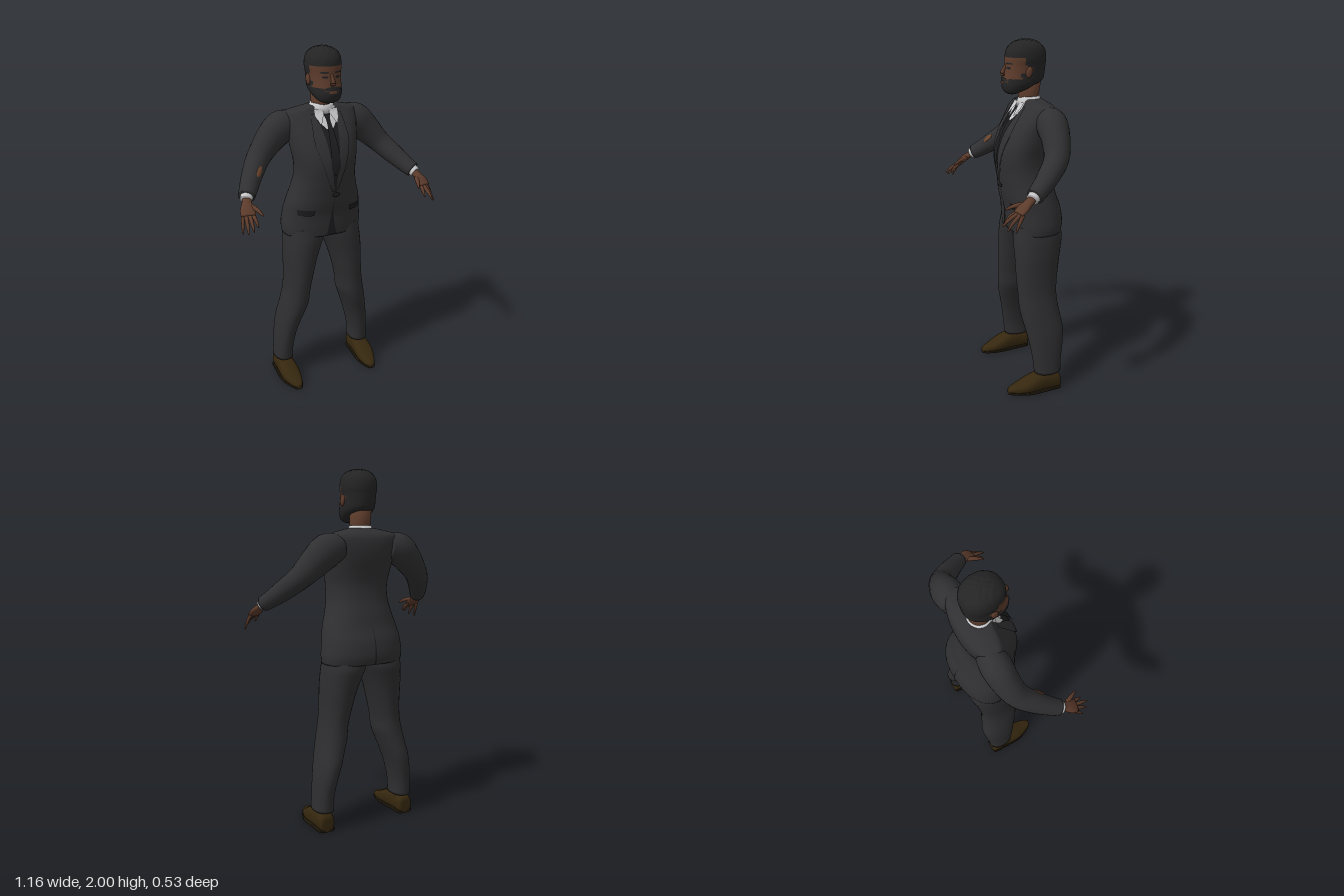
import * as THREE from 'three';

const V = (x, y, z) => new THREE.Vector3(x, y, z);
const mat = (name, color) => {
  const m = new THREE.MeshStandardMaterial({ color });
  m.name = name;
  return m;
};

// Smoothly subdivide a table of profile rows (Catmull-Rom on every column)
function dense(rows, n = 4) {
  const out = [], at = i => rows[Math.max(0, Math.min(rows.length - 1, i))];
  for (let i = 0; i < rows.length - 1; i++) for (let k = 0; k < n; k++) {
    const t = k / n, [a, b, c, d] = [at(i - 1), at(i), at(i + 1), at(i + 2)];
    out.push(b.map((_, j) => 0.5 * (2 * b[j] + (c[j] - a[j]) * t + (2 * a[j] - 5 * b[j] + 4 * c[j] - d[j]) * t * t
      + (3 * b[j] - a[j] - 3 * c[j] + d[j]) * t * t * t)));
  }
  out.push(rows[rows.length - 1]);
  return out;
}

// Superellipse ring around c with half-axes u and v
function ring(c, u, v, n = 2, seg = 28) {
  const e = 2 / n, p = a => Math.sign(a) * Math.abs(a) ** e;
  return Array.from({ length: seg }, (_, i) => {
    const t = i / seg * Math.PI * 2;
    return c.clone().addScaledVector(u, p(Math.cos(t))).addScaledVector(v, p(Math.sin(t)));
  });
}

// Closed skin over rings; classify(centroid) picks a material group per quad
function loft(rings, classify = null) {
  const s = rings[0].length, pts = rings.flat(), sets = [];
  const put = (k, ...ids) => (sets[k] ??= []).push(...ids);
  for (let i = 0; i < rings.length - 1; i++) for (let j = 0; j < s; j++) {
    const a = i * s + j, b = i * s + (j + 1) % s, c = a + s, d = b + s;
    const mid = pts[a].clone().add(pts[b]).add(pts[c]).add(pts[d]).multiplyScalar(0.25);
    put(classify ? classify(mid) : 0, a, c, b, b, c, d);
  }
  [0, rings.length - 1].forEach((r, end) => {
    const mid = rings[r].reduce((m, p) => m.add(p), V(0, 0, 0)).divideScalar(s);
    const k = classify ? classify(mid) : 0, id = pts.push(mid) - 1;
    for (let j = 0; j < s; j++) {
      const a = r * s + j, b = r * s + (j + 1) % s;
      end ? put(k, id, b, a) : put(k, id, a, b);
    }
  });
  const g = new THREE.BufferGeometry().setFromPoints(pts);
  g.setIndex(sets.flat());
  let start = 0;
  if (classify) sets.forEach((ids, k) => { g.addGroup(start, ids.length, k); start += ids.length; });
  g.computeVertexNormals();
  return g;
}

// Rows [y, left, right, front, back] to horizontal rings
const level = (rows, n, seg) => rows.map(([y, x0, x1, f, b]) =>
  ring(V((x0 + x1) / 2, y, (f + b) / 2), V((x1 - x0) / 2, 0, 0), V(0, 0, (f - b) / 2), n, seg));
const even = rows => rows.map(([y, w, f, b]) => [y, -w, w, f, b]);

// Tapered limb through points [x, y, z, sideRadius, heightRadius]
function limb(pts, seg = 20, n = 4) {
  const rows = dense(pts, n);
  return loft(rows.map((r, i) => {
    const a = rows[Math.max(0, i - 1)], b = rows[Math.min(rows.length - 1, i + 1)];
    const t = V(b[0] - a[0], b[1] - a[1], b[2] - a[2]).normalize();
    const u = V(0, 1, 0).cross(t).normalize(), v = u.clone().cross(t);
    return ring(V(r[0], r[1], r[2]), u.multiplyScalar(r[3]), v.multiplyScalar(r[4]), 2, seg);
  }));
}

// Profiles [y, halfWidth, front, back]
const TORSO = dense([
  [0.95, 0.236, 0.05, -0.25], [1.0, 0.24, 0.055, -0.26], [1.08, 0.23, 0.06, -0.25], [1.15, 0.217, 0.075, -0.225],
  [1.22, 0.195, 0.085, -0.208], [1.3, 0.177, 0.095, -0.187], [1.38, 0.178, 0.1, -0.18], [1.45, 0.19, 0.088, -0.19],
  [1.52, 0.2, 0.06, -0.205], [1.58, 0.212, 0.022, -0.21], [1.63, 0.215, -0.015, -0.205], [1.657, 0.2, -0.035, -0.19],
  [1.675, 0.13, -0.04, -0.165], [1.687, 0.07, -0.04, -0.15]]);
const HEAD = dense([
  [1.715, 0.03, 0.04, -0.005], [1.73, 0.06, 0.06, -0.04], [1.76, 0.08, 0.07, -0.11], [1.79, 0.087, 0.067, -0.157],
  [1.83, 0.088, 0.058, -0.168], [1.87, 0.09, 0.052, -0.172], [1.9, 0.095, 0.05, -0.175], [1.94, 0.092, 0.045, -0.17],
  [1.97, 0.079, 0.025, -0.15], [1.99, 0.053, -0.005, -0.12], [2.0, 0.02, -0.04, -0.085]]);

// Depth of a profile's surface at (x, y); side 1 is front, -1 is back
function depth(rows, n, x, y, side) {
  let i = 0;
  while (i < rows.length - 2 && rows[i + 1][0] < y) i++;
  const t = Math.max(0, Math.min(1, (y - rows[i][0]) / (rows[i + 1][0] - rows[i][0])));
  const [w, f, b] = [1, 2, 3].map(k => rows[i][k] + (rows[i + 1][k] - rows[i][k]) * t);
  return (f + b) / 2 + side * (f - b) / 2 * Math.max(0, 1 - Math.abs(x / w) ** n) ** (1 / n);
}

// Thin plate laid on a profile; stations [y, xLeft, xRight]
function band(rows, n, stations, off, side = 1) {
  const st = dense(stations, 5), cols = 6, pts = [], idx = [];
  st.forEach(([y, a, b], i) => {
    for (let j = 0; j <= cols; j++) {
      const x = a + (b - a) * j / cols;
      pts.push(V(x, y, depth(rows, n, x, y, side) + off * side));
      if (i && j) {
        const q = pts.length - 1, p = q - cols - 1;
        side > 0 ? idx.push(p - 1, p, q, p - 1, q, q - 1) : idx.push(p, p - 1, q, q, p - 1, q - 1);
      }
    }
  });
  const g = new THREE.BufferGeometry().setFromPoints(pts);
  g.setIndex(idx);
  g.computeVertexNormals();
  return g;
}

function flip(geo) {
  const g = geo.clone().scale(-1, 1, 1), ix = g.index.array;
  for (let i = 0; i < ix.length; i += 3) [ix[i], ix[i + 1]] = [ix[i + 1], ix[i]];
  g.computeVertexNormals();
  return g;
}

export function createModel() {
  const suit = mat('suit cloth', 0x303032), trouser = mat('trouser cloth', 0x2e2e30), dark = mat('dark cloth', 0x1d1d1f);
  const hair = mat('hair', 0x242424), skin = mat('skin', 0x5c3b2b), shirt = mat('shirt', 0xc8c8ca);
  const leather = mat('shoe leather', 0x35270f), sole = mat('sole', 0x1c150a), patchMat = mat('elbow patch', 0x6e452d);
  const root = new THREE.Group();
  const add = (name, geo, m) => {
    const mesh = new THREE.Mesh(geo, m);
    mesh.name = name;
    root.add(mesh);
    return mesh;
  };
  const pair = (name, geo, m) => { add('left' + name, geo, m); add('right' + name, flip(geo), m); };
  const N = 2.3, H = 2.2;

  // Jacket body, lapels, pockets and back vent
  add('jacket', loft(level(even(TORSO), N, 40)), suit);
  add('jacketOpening', band(TORSO, N, [[1.24, -0.004, 0.004], [1.4, -0.03, 0.03], [1.6, -0.06, 0.06]], 0.003), dark);
  pair('Lapel', band(TORSO, N, [[1.23, 0.002, 0.012], [1.35, 0.016, 0.055], [1.5, 0.036, 0.1], [1.57, 0.047, 0.1], [1.65, 0.066, 0.09]], 0.009), suit);
  pair('LapelEdge', band(TORSO, N, [[1.23, 0.012, 0.014], [1.35, 0.054, 0.058], [1.5, 0.099, 0.103]], 0.006), dark);
  pair('PocketFlap', band(TORSO, N, [[1.09, 0.11, 0.19], [1.125, 0.105, 0.195]], 0.008), dark);
  add('button', new THREE.SphereGeometry(0.012, 12, 8).scale(2, 1, 0.6).translate(0.012, 1.21, 0.09), dark);
  add('frontSlit', band(TORSO, N, [[0.955, -0.03, 0.03], [1.05, -0.012, 0.012], [1.12, -0.002, 0.002]], 0.003), dark);
  add('frontSeam', band(TORSO, N, [[1.1, 0, 0.004], [1.24, 0, 0.004]], 0.004), dark);
  add('backVent', band(TORSO, N, [[0.955, -0.006, 0.006], [1.15, -0.001, 0.001]], 0.003, -1), dark);

  // Shirt, collar and tie
  add('shirtFront', band(TORSO, N, [[1.575, -0.02, 0.02], [1.62, -0.055, 0.055], [1.68, -0.06, 0.06]], 0.006), shirt);
  add('collar', loft(level(even([[1.645, 0.075, -0.012, -0.15], [1.675, 0.07, -0.02, -0.148], [1.7, 0.062, -0.028, -0.143]]), 2)), shirt);
  pair('CollarPoint', band(TORSO, N, [[1.6, 0.045, 0.052], [1.64, 0.022, 0.068], [1.672, 0.008, 0.07]], 0.018), shirt);
  add('tie', band(TORSO, N, [[1.33, -0.006, 0.006], [1.38, -0.027, 0.027], [1.5, -0.022, 0.022], [1.61, -0.012, 0.012], [1.65, -0.022, 0.022]], 0.014), dark);

  // Head with painted hair and beard, neck, ears, nose, eyes and mouth
  const isHair = p => p.y > 1.912 || p.z < -0.075 || (p.z < -0.035 && p.y > 1.865);
  const paint = p => isHair(p) ? 1 : p.y < 1.785 || (p.y < 1.8 && Math.abs(p.x) > 0.045) || (p.z < -0.01 && p.y < 1.83) ? 2 : 0;
  const headRings = level(even(HEAD), H, 48);
  headRings.flat().forEach(p => {
    if (isHair(p)) p.multiplyScalar(1 + 0.0012 * Math.sin(p.x * 190) * Math.sin(p.z * 170 + p.y * 150));
  });
  add('head', loft(headRings, paint), [skin, hair, hair]);
  add('neck', loft(level(even([[1.64, 0.062, -0.03, -0.142], [1.7, 0.057, -0.025, -0.138], [1.78, 0.06, -0.02, -0.15]]), 2)), skin);
  pair('Ear', new THREE.SphereGeometry(1, 14, 10).scale(0.011, 0.031, 0.019).rotateX(-0.2).translate(0.091, 1.835, -0.05), skin);
  add('nose', limb([[0, 1.87, 0.05, 0.006, 0.006], [0, 1.84, 0.066, 0.011, 0.01], [0, 1.822, 0.07, 0.016, 0.01], [0, 1.814, 0.062, 0.013, 0.006]], 12), skin);
  pair('Brow', band(HEAD, H, [[1.874, 0.014, 0.062], [1.883, 0.018, 0.055]], 0.003), hair);
  pair('Eye', band(HEAD, H, [[1.849, 0.025, 0.045], [1.855, 0.02, 0.052], [1.861, 0.027, 0.045]], 0.002), dark);
  add('moustache', band(HEAD, H, [[1.785, -0.048, 0.048], [1.797, -0.044, 0.044], [1.806, -0.02, 0.02]], 0.005), hair);
  add('mouth', band(HEAD, H, [[1.772, -0.018, 0.018], [1.777, -0.025, 0.025], [1.783, -0.018, 0.018]], 0.005), skin);

  // Sleeves, cuffs and hands
  pair('Sleeve', limb([[0.15, 1.585, -0.125, 0.07, 0.07], [0.225, 1.57, -0.127, 0.082, 0.092], [0.3, 1.505, -0.118, 0.075, 0.082],
    [0.375, 1.425, -0.088, 0.066, 0.064], [0.44, 1.355, -0.015, 0.057, 0.056], [0.485, 1.305, 0.05, 0.049, 0.047], [0.507, 1.283, 0.085, 0.045, 0.043]], 24), suit);
  pair('Cuff', limb([[0.5, 1.29, 0.075, 0.034, 0.034], [0.515, 1.272, 0.1, 0.033, 0.031]]), shirt);
  pair('Palm', limb([[0.5, 1.285, 0.08, 0.026, 0.022], [0.517, 1.262, 0.115, 0.026, 0.019], [0.525, 1.237, 0.15, 0.04, 0.018], [0.532, 1.213, 0.18, 0.038, 0.013]]), skin);
  const finger = (name, a, b, r) => pair(name, limb([[...a, r, r], [...a.map((c, i) => c * 0.45 + b[i] * 0.55 + (i === 1 ? 0.006 : 0)), r * 0.85, r * 0.85],
    [...b, r * 0.35, r * 0.35]], 10), skin);
  finger('Thumb', [0.502, 1.25, 0.135], [0.467, 1.22, 0.222], 0.013);
  finger('IndexFinger', [0.508, 1.218, 0.173], [0.5, 1.168, 0.238], 0.011);
  finger('MiddleFinger', [0.525, 1.213, 0.18], [0.533, 1.158, 0.262], 0.011);
  finger('RingFinger', [0.543, 1.21, 0.175], [0.556, 1.14, 0.243], 0.011);
  finger('LittleFinger', [0.557, 1.213, 0.162], [0.575, 1.13, 0.207], 0.01);

  // Worn patch on the right forearm
  const nrm = V(0.35, 0.43, 0.83).normalize(), along = V(-0.52, -0.64, 0.56);
  along.addScaledVector(nrm, -along.dot(nrm)).normalize();
  const patch = add('forearmPatch', new THREE.SphereGeometry(1, 16, 10).scale(0.036, 0.014, 0.005), patchMat);
  patch.quaternion.setFromRotationMatrix(new THREE.Matrix4().makeBasis(along, nrm.clone().cross(along), nrm));
  patch.position.set(-0.428, 1.362, -0.025).addScaledVector(nrm, 0.056);

  // Trouser legs
  pair('Trouser', loft(level(dense([
    [0.115, 0.2, 0.318, -0.03, -0.19], [0.2, 0.2, 0.311, -0.02, -0.195], [0.3, 0.18, 0.302, -0.005, -0.21], [0.38, 0.155, 0.29, 0.012, -0.215],
    [0.45, 0.13, 0.276, 0.028, -0.205], [0.52, 0.106, 0.262, 0.037, -0.195], [0.6, 0.097, 0.247, 0.04, -0.19], [0.7, 0.075, 0.24, 0.045, -0.2],
    [0.8, 0.046, 0.24, 0.046, -0.215], [0.87, 0.02, 0.237, 0.047, -0.228], [0.93, -0.004, 0.232, 0.045, -0.237], [1.0, -0.02, 0.222, 0.035, -0.22]]), 2.2, 32)), trouser);

  // Shoes: cross-sections along z as [z, centreX, halfWidth, height]
  const shoe = dense([[-0.183, 0.262, 0.03, 0.075], [-0.17, 0.262, 0.046, 0.1], [-0.1, 0.262, 0.051, 0.115], [-0.04, 0.261, 0.056, 0.108],
    [0.015, 0.259, 0.057, 0.085], [0.065, 0.255, 0.047, 0.06], [0.11, 0.251, 0.03, 0.043], [0.133, 0.25, 0.014, 0.03]]);
  const section = (top, grow, n) => shoe.map(([z, x, w, h]) => {
    const y = top ?? h;
    return ring(V(x, y / 2, z), V(w + grow, 0, 0), V(0, -y / 2, 0), n, 24);
  });
  pair('Shoe', loft(section(null, 0, 2.5)), leather);
  pair('Sole', loft(section(0.018, 0.003, 5)), sole);
  pair('Ankle', new THREE.CylinderGeometry(0.04, 0.04, 0.08, 16).translate(0.26, 0.115, -0.11), skin);

  return root;
}
